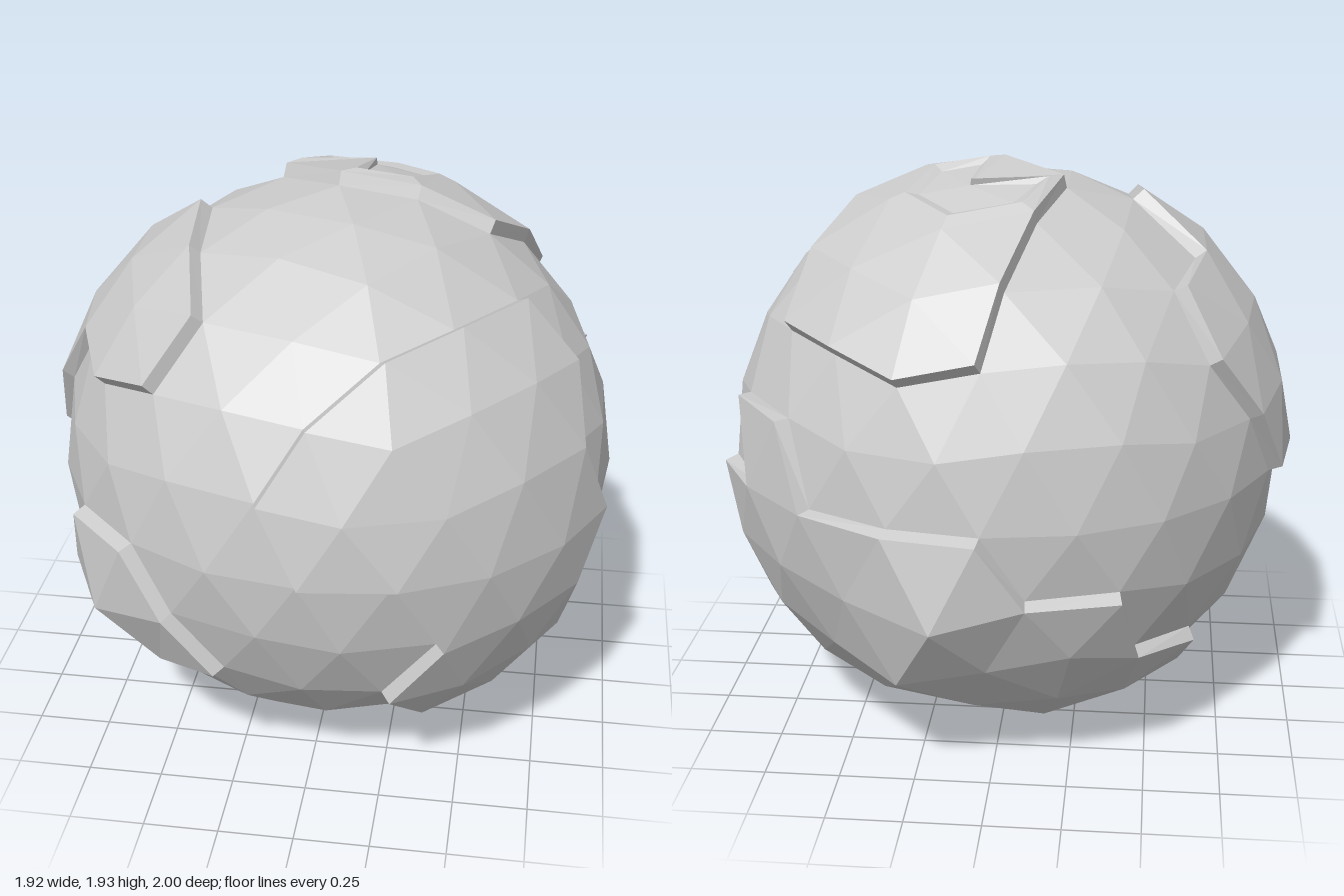
import * as THREE from 'three';

const R = 0.94;                                      // sea level
const LIFT = 0.045;                                  // height of the coast
const V = (x, y, z) => new THREE.Vector3(x, y, z);

// Point on the sea sphere; longitude 0 faces the front, 90 is +x
const onGlobe = ([lon, lat]) => V(0, 0, 0).setFromSphericalCoords(
  R, THREE.MathUtils.degToRad(90 - lat), THREE.MathUtils.degToRad(lon));

// Turning points of each coast as [longitude, latitude]; peaks add a height
const LANDS = [
  { name: 'topContinent',
    coast: [[0, 90], [-126, 74], [-174, 48], [180, 30], [162, 27], [126, 32], [114, 48], [90, 58]],
    peaks: [], crater: [153, 71] },
  { name: 'frontLeftContinent',
    coast: [[66, 48], [72, 30], [66, 15], [72, 0], [64, -15], [72, -31], [32, -47], [18, -31],
      [29, -16], [18, 0], [0, 0], [-8, 16], [18, 42]],
    peaks: [[18, 27, 0.012]] },
  { name: 'upperRightContinent',
    coast: [[-31, 48], [-90, 63], [-103, 48], [-126, 42], [-126, 27], [-108, 0], [-90, 0],
      [-72, 30], [-54, 27], [-37, 30]],
    peaks: [] },
  { name: 'lowerRightContinent',
    coast: [[-54, 0], [-36, 0], [-18, -27], [-54, -32], [-63, -16]],
    peaks: [[-46, -16, 0.06]] },
  { name: 'backContinent',
    coast: [[117, 15], [136, 15], [144, 0], [180, 0], [-172, -15], [-154, -15], [-144, -30],
      [-126, -32], [-114, -48], [-90, -74], [-162, -74], [-162, -58], [174, -48], [126, -42],
      [99, -16], [108, 0], [126, 0]],
    peaks: [[162, -27, 0.07], [171, -16, 0.085]] },
];

// Icosahedron with a corner at each pole, split twice into 320 faces
function icosphere() {
  const verts = [V(0, 1, 0), V(0, -1, 0)];
  for (const s of [1, -1]) for (let i = 0; i < 5; i++) {
    const a = i * Math.PI * 0.4;
    verts.push(V(s * Math.cos(a), s * 0.5, Math.sin(a)).normalize());
  }
  // any three mutually adjacent corners form a face
  let faces = [];
  const near = (a, b) => verts[a].distanceTo(verts[b]) < 1.1;
  for (let a = 0; a < 12; a++) for (let b = a + 1; b < 12; b++) for (let c = b + 1; c < 12; c++) {
    if (!near(a, b) || !near(b, c) || !near(a, c)) continue;
    const out = verts[a].clone().cross(verts[b]).dot(verts[c]) > 0;
    faces.push(out ? [a, b, c] : [a, c, b]);
  }
  for (let level = 0; level < 2; level++) {
    const cache = new Map();
    const mid = (a, b) => {
      const key = Math.min(a, b) + '_' + Math.max(a, b);
      if (!cache.has(key)) cache.set(key, verts.push(verts[a].clone().add(verts[b]).normalize()) - 1);
      return cache.get(key);
    };
    faces = faces.flatMap(([a, b, c]) => {
      const d = mid(a, b), e = mid(b, c), f = mid(c, a);
      return [[a, d, f], [d, b, e], [f, e, c], [d, e, f]];
    });
  }
  verts.forEach(v => v.multiplyScalar(R));
  return { verts, faces };
}

const centroid = (verts, f) =>
  V(0, 0, 0).add(verts[f[0]]).add(verts[f[1]]).add(verts[f[2]]).divideScalar(3);

const nearest = (points, p) =>
  points.reduce((best, v) => (v.distanceTo(p) < best.distanceTo(p) ? v : best));

// Faces whose centre lies inside a closed coast, tested on a stereographic map
function facesInside(verts, faces, coast) {
  const corners = coast.map(p => nearest(verts, onGlobe(p)));
  const axis = corners.reduce((s, v) => s.add(v), V(0, 0, 0)).normalize();
  const turn = new THREE.Quaternion().setFromUnitVectors(axis, V(0, 0, 1));
  const map = v => {
    const q = v.clone().normalize().applyQuaternion(turn);
    return [q.x / (1.0001 + q.z), q.y / (1.0001 + q.z)];
  };
  const poly = corners.map(map);
  return faces.filter(f => {
    const [x, y] = map(centroid(verts, f));
    let inside = false;
    poly.forEach(([x1, y1], i) => {
      const [x2, y2] = poly[(i + 1) % poly.length];
      if ((y1 > y) !== (y2 > y) && x < x1 + (x2 - x1) * (y - y1) / (y2 - y1)) inside = !inside;
    });
    return inside;
  });
}

// Raise a patch of faces and pull its rim inward; returns the new top and its walls
function extrude(verts, patch, lift, inset) {
  const edges = new Set(), pull = new Map(), copy = new Map();
  for (const f of patch) {
    const c = centroid(verts, f);
    f.forEach((a, i) => {
      edges.add(a + '_' + f[(i + 1) % 3]);
      if (!pull.has(a)) pull.set(a, { sum: V(0, 0, 0), n: 0 });
      pull.get(a).sum.add(c);
      pull.get(a).n++;
    });
  }
  const rim = [...edges].map(e => e.split('_').map(Number)).filter(([a, b]) => !edges.has(b + '_' + a));
  const onRim = new Set(rim.flat());
  for (const [a, { sum, n }] of pull) {
    const v = verts[a].clone(), r = v.length();
    if (onRim.has(a)) v.lerp(sum.divideScalar(n), inset);
    copy.set(a, verts.push(v.setLength(r + lift)) - 1);
  }
  const top = patch.map(f => f.map(a => copy.get(a)));
  const walls = rim.flatMap(([a, b]) => [[a, b, copy.get(b)], [a, copy.get(b), copy.get(a)]]);
  return { top, walls };
}

function makeMesh(name, verts, faces) {
  const geo = new THREE.BufferGeometry().setFromPoints(faces.flat().map(i => verts[i]));
  geo.computeVertexNormals();
  const mesh = new THREE.Mesh(geo, new THREE.MeshStandardMaterial({ color: 0xcccccc, flatShading: true }));
  mesh.name = name;
  return mesh;
}

export function createModel() {
  const globe = new THREE.Group();
  globe.name = 'globe';
  const { verts, faces } = icosphere();
  const seaVerts = verts.slice();
  let sea = faces;

  for (const { name, coast, peaks, crater } of LANDS) {
    const patch = facesInside(seaVerts, sea, coast);
    sea = sea.filter(f => !patch.includes(f));
    let { top, walls } = extrude(verts, patch, LIFT, 0.13);

    // mountains: lift the land corner closest to each peak
    for (const [lon, lat, h] of peaks) {
      const v = nearest(top.flat().map(i => verts[i]), onGlobe([lon, lat]));
      v.setLength(v.length() + h);
    }

    // crater: a low rim, then a sunken floor
    if (crater) {
      const c = onGlobe(crater).setLength(R + LIFT);
      const bowl = top.filter(f => centroid(verts, f).distanceTo(c) < 0.23);
      const ring = extrude(verts, bowl, 0.004, 0.4);
      const floor = extrude(verts, ring.top, -0.022, 0.35);
      top = top.filter(f => !bowl.includes(f)).concat(ring.walls, floor.walls, floor.top);
    }
    globe.add(makeMesh(name, verts, top.concat(walls)));
  }
  globe.add(makeMesh('ocean', verts, sea));
  globe.position.set(0.01, 0.945, 0.015);

  const model = new THREE.Group();
  model.add(globe);
  return model;
}
